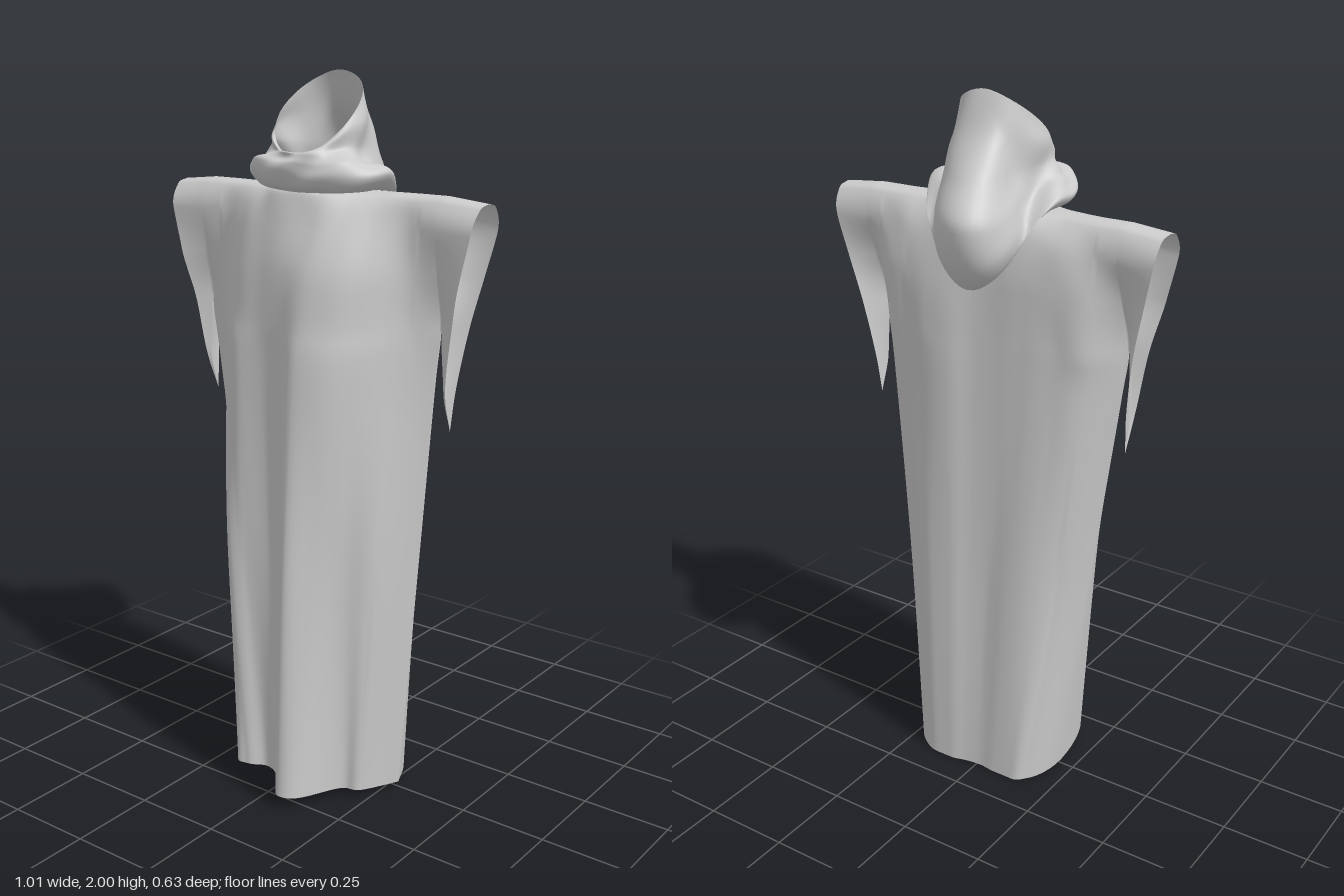
import * as THREE from 'three';
import { mergeGeometries, mergeVertices } from 'three/addons/utils/BufferGeometryUtils.js';

const cloth = new THREE.MeshStandardMaterial({ color: 0xcccccc, side: THREE.DoubleSide });
const { lerp } = THREE.MathUtils;

// Smooth interpolation through evenly parametrised values, t in 0..1,
// flat at turning points so that it never overshoots there
function spline(values, t) {
  const last = values.length - 1;
  const i = Math.min(Math.floor(t * last + 1e-9), last - 1);
  const w = t * last - i;
  const b = values[i], c = values[i + 1];
  const before = i > 0 ? b - values[i - 1] : c - b;
  const after = i + 2 <= last ? values[i + 2] - c : c - b;
  const slope = (p, q) => (p * q <= 0 ? 0 : (p + q) / 2);
  const m0 = slope(before, c - b), m1 = slope(c - b, after);
  return b + w * (m0 + w * (3 * (c - b) - 2 * m0 - m1 + w * (2 * (b - c) + m0 + m1)));
}

// Bend a grid by a rule (u, v) => [x, y, z]; u runs along, v runs up
function sheet(nu, nv, rule) {
  const geo = new THREE.PlaneGeometry(1, 1, nu, nv);
  const uv = geo.attributes.uv, pos = geo.attributes.position;
  for (let i = 0; i < pos.count; i++) pos.setXYZ(i, ...rule(uv.getX(i), uv.getY(i)));
  geo.deleteAttribute('uv');
  geo.deleteAttribute('normal');
  return geo;
}

// Sew sheets along their shared edges into one smooth mesh
function sew(name, sheets) {
  const geo = mergeVertices(mergeGeometries(sheets), 1e-4);
  geo.computeVertexNormals();
  const mesh = new THREE.Mesh(geo, cloth);
  mesh.name = name;
  return mesh;
}

// Robe cross-sections from hem to shoulder: heights, side limits and depths
const bodyY = [0, 0.7, 1.2, 1.36, 1.5, 1.62, 1.685, 1.7];
const rightX = [-0.21, -0.3, -0.37, -0.39, -0.39, -0.39, -0.39, -0.39];
const leftX = [0.28, 0.335, 0.375, 0.39, 0.39, 0.39, 0.39, 0.39];
const frontZ = [
  [0, 0.19, 0.205, 0.18, 0.2, 0.26, 0.31, 0.28, 0.15, 0.12, 0],
  [0, 0.125, 0.195, 0.185, 0.18, 0.22, 0.275, 0.235, 0.17, 0.12, 0],
  [0, 0.06, 0.14, 0.175, 0.175, 0.19, 0.23, 0.21, 0.15, 0.07, 0],
  [0, 0.045, 0.12, 0.155, 0.17, 0.18, 0.205, 0.18, 0.125, 0.05, 0],
  [0.025, 0.04, 0.095, 0.135, 0.155, 0.165, 0.18, 0.155, 0.105, 0.045, 0.025],
  [0.04, 0.035, 0.06, 0.1, 0.125, 0.13, 0.13, 0.1, 0.06, 0.035, 0.04],
  [0.015, 0.015, 0.025, 0.05, 0.1, 0.11, 0.1, 0.05, 0.025, 0.015, 0.015],
  [-0.025, -0.025, -0.02, -0.015, 0.075, 0.1, 0.075, -0.015, -0.02, -0.025, -0.025],
];
const backZ = [
  [0, -0.13, -0.15, -0.15, -0.145, -0.15, -0.16, -0.16, -0.145, -0.1, 0],
  [0, -0.085, -0.125, -0.135, -0.13, -0.14, -0.155, -0.155, -0.135, -0.09, 0],
  [0, -0.085, -0.115, -0.13, -0.13, -0.14, -0.155, -0.15, -0.13, -0.095, 0],
  [0, -0.095, -0.115, -0.13, -0.13, -0.14, -0.15, -0.15, -0.13, -0.1, 0],
  [-0.045, -0.1, -0.12, -0.13, -0.13, -0.135, -0.14, -0.145, -0.13, -0.11, -0.045],
  [-0.085, -0.09, -0.11, -0.115, -0.12, -0.125, -0.125, -0.12, -0.11, -0.09, -0.085],
  [-0.065, -0.065, -0.065, -0.08, -0.11, -0.12, -0.11, -0.08, -0.065, -0.065, -0.065],
  [-0.025, -0.025, -0.02, -0.015, -0.08, -0.105, -0.08, -0.015, -0.02, -0.025, -0.025],
];

function bodyPanel(rows, isBack) {
  return sheet(90, 98, (u, v) => {
    // Columns gather towards the side seams
    const s = (isBack ? 1 - u : u) - (isBack ? -1 : 1) * 0.1 * Math.sin(2 * Math.PI * u);
    const x = lerp(spline(rightX, v), spline(leftX, v), s);
    // The right side of the hem is boxy
    const round = lerp(0.5, 1, Math.min(1, 4 * v));
    const t = s < 0.1 ? 0.1 * Math.max(0, s / 0.1) ** round : s;
    let z = spline(rows.map((row) => spline(row, t)), v);
    // Shallow drapes that fade out at the seams
    z += 0.003 * Math.sin(34 * x + 3 * v) * Math.sin(Math.PI * s) * Math.sin(Math.PI * v);
    // The hem rises towards the front
    const y = spline(bodyY, v);
    return [x, y + 0.09 * (z + 0.16) * Math.max(0, 1 - y / 0.8), z];
  });
}

// Wide open sleeve with a hanging point, from armpit seam to cuff
const sleeve = {
  y: [1.08, 1.2, 1.36, 1.5, 1.62, 1.685, 1.7],
  innerX: [0.405, 0.4, 0.39, 0.39, 0.39, 0.39, 0.39],
  cuffX: [0.405, 0.412, 0.435, 0.467, 0.495, 0.503, 0.505],
  innerFront: [-0.03, 0, 0, 0.025, 0.04, 0.015, -0.025],
  innerBack: [-0.03, 0, 0, -0.045, -0.085, -0.065, -0.025],
  cuffFront: [-0.03, 0.01, 0.025, 0.045, 0.045, 0.015, -0.025],
  cuffBack: [-0.03, -0.045, -0.065, -0.08, -0.09, -0.065, -0.025],
};

function sleevePanel(side, isBack) {
  const inner = isBack ? sleeve.innerBack : sleeve.innerFront;
  const cuff = isBack ? sleeve.cuffBack : sleeve.cuffFront;
  return sheet(10, 84, (u, v) => {
    const s = (side > 0) !== isBack ? u : 1 - u;
    const x = lerp(spline(sleeve.innerX, v), spline(sleeve.cuffX, v), s);
    const z = lerp(spline(inner, v), spline(cuff, v), s);
    return [side * x, spline(sleeve.y, v) - 0.012 * s * v, z];
  });
}

// Cowl and hood: radius and height profiles from neck seam to hood rim
const hoodProfiles = {
  front: {
    r: [0.1, 0.125, 0.14, 0.145, 0.135, 0.125, 0.115, 0.1],
    y: [1.69, 1.71, 1.745, 1.775, 1.79, 1.795, 1.795, 1.785],
  },
  side: {
    r: [0.105, 0.175, 0.205, 0.18, 0.145, 0.125, 0.13, 0.12],
    y: [1.69, 1.705, 1.74, 1.765, 1.78, 1.815, 1.86, 1.9],
  },
  back: {
    r: [0.105, 0.135, 0.21, 0.285, 0.31, 0.24, 0.15, 0.1],
    y: [1.69, 1.57, 1.515, 1.58, 1.69, 1.8, 1.9, 2.0],
  },
};

function hood() {
  return sheet(96, 70, (u, v) => {
    const a = 2 * Math.PI * u;
    const c = Math.cos(a);
    const end = c > 0 ? hoodProfiles.front : hoodProfiles.back;
    const wr = Math.abs(c) ** (c > 0 ? 2 : 5);
    const wy = Math.abs(c) ** lerp(3, 1, v);
    // Crumpled folds around the cowl
    const swell = Math.sin(Math.PI * v);
    const fold = swell * (0.006 * Math.sin(3 * a + 9 * v) + 0.004 * Math.sin(7 * a - 12 * v));
    const r = lerp(spline(hoodProfiles.side.r, v), spline(end.r, v), wr) + fold;
    const y = lerp(spline(hoodProfiles.side.y, v), spline(end.y, v), wy) + fold * 0.8;
    const z = r * c;
    // The drooping bag hangs towards the right
    const lean = -0.38 * Math.max(0, -z - 0.12) - 0.01 * v;
    return [r * Math.sin(a) + lean, y, z];
  });
}

export function createModel() {
  const model = new THREE.Group();
  model.name = 'hoodedRobe';
  const panels = [bodyPanel(frontZ, false), bodyPanel(backZ, true)];
  for (const side of [1, -1]) panels.push(sleevePanel(side, false), sleevePanel(side, true));
  model.add(sew('robeWithSleeves', panels), sew('hood', [hood()]));
  return model;
}
